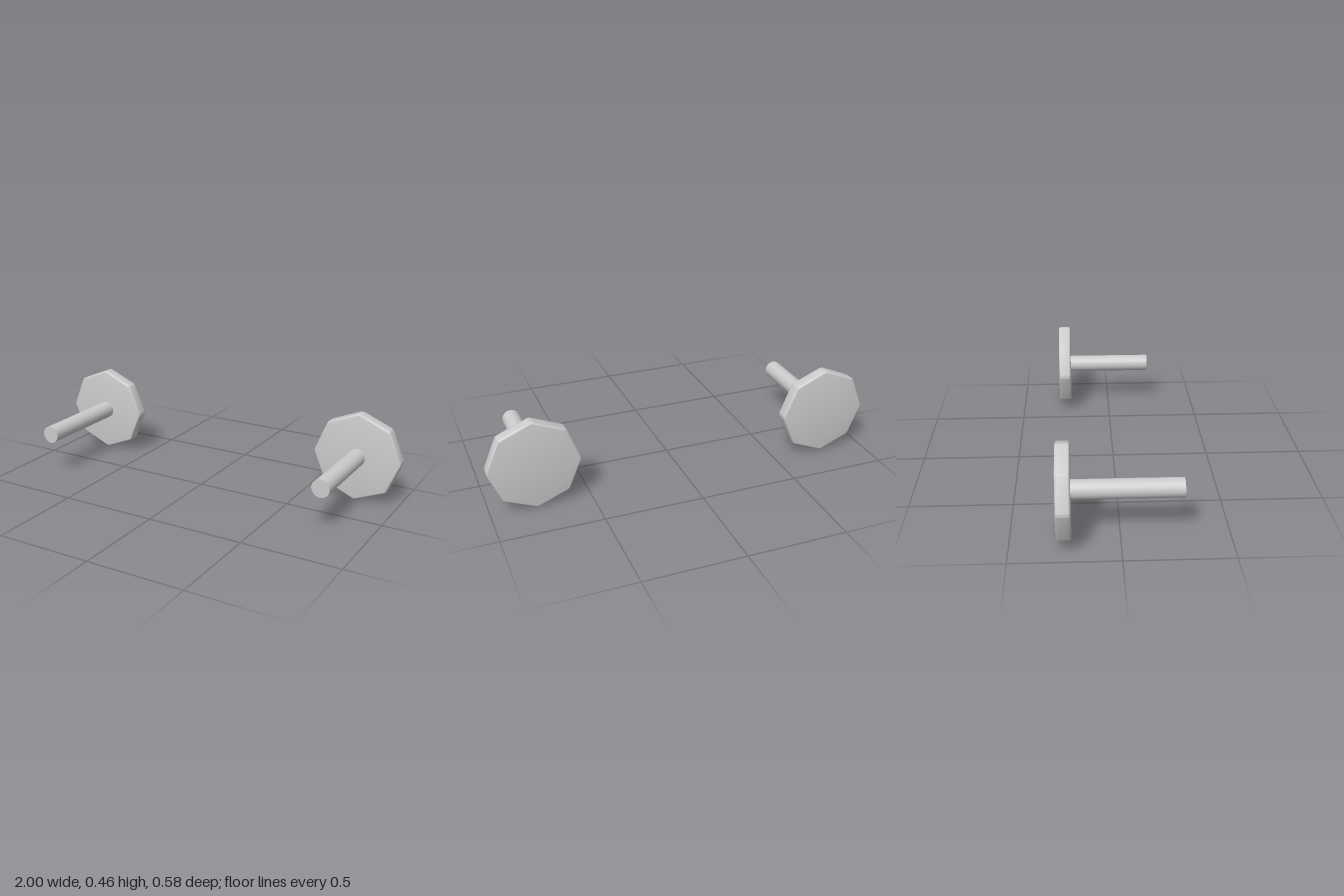
import * as THREE from 'three';
import { toCreasedNormals } from 'three/addons/utils/BufferGeometryUtils.js';

const material = new THREE.MeshStandardMaterial({ color: 0xcccccc });
const CENTER_Y = 0.23, BACK_Z = -0.288, HEAD_DEPTH = 0.066;

// Octagon with a corner at the top, each corner slightly rounded
function octagonShape(radius, trim) {
  const corners = [];
  for (let i = 0; i < 8; i++) {
    const a = Math.PI / 2 + i * Math.PI / 4;
    corners.push(new THREE.Vector2(Math.cos(a) * radius, Math.sin(a) * radius));
  }
  const toward = (p, q) => p.clone().add(q.clone().sub(p).setLength(trim));
  const shape = new THREE.Shape();
  corners.forEach((c, i) => {
    const start = toward(c, corners[(i + 7) % 8]);
    const end = toward(c, corners[(i + 1) % 8]);
    if (i === 0) shape.moveTo(start.x, start.y);
    else shape.lineTo(start.x, start.y);
    shape.quadraticCurveTo(c.x, c.y, end.x, end.y);
  });
  shape.closePath();
  return shape;
}

// Octagonal head with softened rims
function headGeometry() {
  const bevel = 0.009;
  const geometry = new THREE.ExtrudeGeometry(octagonShape(0.231, 0.012), {
    depth: HEAD_DEPTH - 2 * bevel, curveSegments: 4,
    bevelThickness: bevel, bevelSize: bevel, bevelOffset: -bevel, bevelSegments: 3,
  });
  geometry.translate(0, 0, bevel);
  return toCreasedNormals(geometry, 0.6);
}

// One pin: head at the back, round shaft reaching forward
function createPin(name, x, tipZ) {
  const pin = new THREE.Group();
  pin.name = name;
  pin.position.set(x, CENTER_Y, BACK_Z);

  const head = new THREE.Mesh(headGeometry(), material);
  head.name = 'head';

  const length = tipZ - BACK_Z - HEAD_DEPTH;
  const shaftGeometry = new THREE.CylinderGeometry(0.046, 0.046, length, 32);
  shaftGeometry.rotateX(Math.PI / 2);
  const shaft = new THREE.Mesh(shaftGeometry, material);
  shaft.name = 'shaft';
  shaft.position.z = HEAD_DEPTH + length / 2;

  pin.add(head, shaft);
  return pin;
}

export function createModel() {
  const model = new THREE.Group();
  model.name = 'pinPair';
  model.add(
    createPin('longPin', -0.771, 0.288),
    createPin('shortPin', 0.771, 0.232),
  );
  return model;
}
